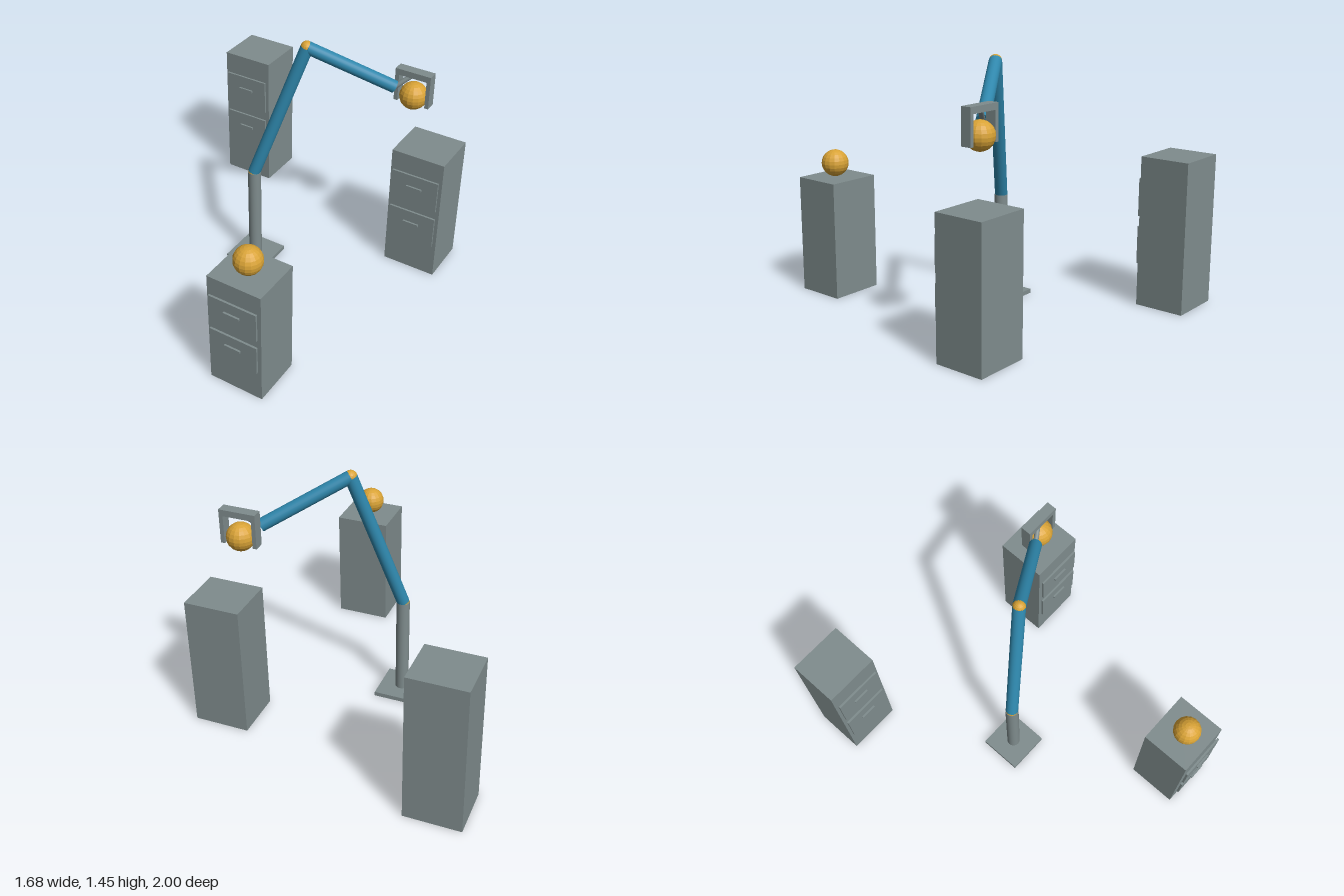
import * as THREE from 'three';

const mat = (name, color, flatShading = false) =>
  Object.assign(new THREE.MeshStandardMaterial({ color, flatShading }), { name });

export function createModel() {
  const grey = mat('steel grey', 0x7f8c8d);
  const blue = mat('arm blue', 0x2e86ab);
  const amber = mat('amber', 0xd9a336, true);
  const model = new THREE.Group();
  model.name = 'robotArmWithCabinets';

  const add = (parent, name, geometry, material, x, y, z) => {
    const mesh = new THREE.Mesh(geometry, material);
    mesh.name = name;
    mesh.position.set(x, y, z);
    parent.add(mesh);
    return mesh;
  };
  const box = (parent, name, w, h, d, x, y, z) =>
    add(parent, name, new THREE.BoxGeometry(w, h, d), grey, x, y, z);
  const ball = (parent, name, r, p) =>
    add(parent, name, new THREE.SphereGeometry(r, 16, 12), amber, p.x, p.y, p.z);
  // Round bar running between two points
  const bar = (parent, name, a, b, r, material) => {
    const dir = b.clone().sub(a);
    const mid = a.clone().add(b).multiplyScalar(0.5);
    const mesh = add(parent, name, new THREE.CylinderGeometry(r, r, dir.length(), 24), material, mid.x, mid.y, mid.z);
    mesh.quaternion.setFromUnitVectors(new THREE.Vector3(0, 1, 0), dir.normalize());
    return mesh;
  };

  // Cabinets with two drawers each; drawer spacing follows the height
  const cabinet = (name, x, z, height) => {
    const g = new THREE.Group();
    g.name = name;
    g.position.set(x, 0, z);
    const depth = 0.291, front = depth / 2;
    box(g, 'cabinetBody', 0.32, height, depth, 0, height / 2, 0);
    for (const level of [0.403, 0.723]) {
      box(g, 'drawerFront', 0.285, height * 0.25, 0.012, 0, height * level, front + 0.013);
      box(g, 'drawerHandle', 0.095, 0.014, 0.011, 0, height * (level + 0.025), front + 0.0245);
    }
    model.add(g);
  };
  cabinet('tallCabinet', -0.682, -0.855, 0.87);
  cabinet('middleCabinet', 0.678, -0.541, 0.78);
  cabinet('shortCabinet', 0.361, 0.824, 0.687);

  // Arm: base, post, two links and their joints
  const arm = new THREE.Group();
  arm.name = 'robotArm';
  model.add(arm);
  const foot = new THREE.Vector3(-0.16, 0.025, 0);
  const shoulder = new THREE.Vector3(-0.16, 0.61, 0);
  const elbow = new THREE.Vector3(0.086, 1.415, -0.155);
  const wrist = new THREE.Vector3(0.495, 1.177, -0.409);
  const palm = new THREE.Vector3(0.586, 1.258, -0.467);
  box(arm, 'basePlate', 0.25, 0.025, 0.25, foot.x, 0.0125, 0);
  bar(arm, 'post', foot, shoulder, 0.038, grey);
  bar(arm, 'lowerLink', shoulder, elbow, 0.036, blue);
  bar(arm, 'upperLink', elbow, wrist, 0.036, blue);
  ball(arm, 'shoulderJoint', 0.036, shoulder);
  ball(arm, 'elbowJoint', 0.036, elbow);
  bar(arm, 'wristRod', wrist, palm, 0.014, grey);

  // Gripper: palm bar with two fingers
  const gripper = new THREE.Group();
  gripper.name = 'gripper';
  gripper.position.copy(palm);
  arm.add(gripper);
  box(gripper, 'gripperPalm', 0.21, 0.036, 0.06, 0, 0, 0);
  for (const s of [-1, 1]) box(gripper, 'gripperFinger', 0.023, 0.162, 0.06, s * 0.0935, -0.097, 0);

  // Balls: one held, one resting on the short cabinet
  ball(model, 'heldBall', 0.079, new THREE.Vector3(0.586, 1.122, -0.467));
  ball(model, 'restingBall', 0.079, new THREE.Vector3(0.361, 0.766, 0.836));
  return model;
}
